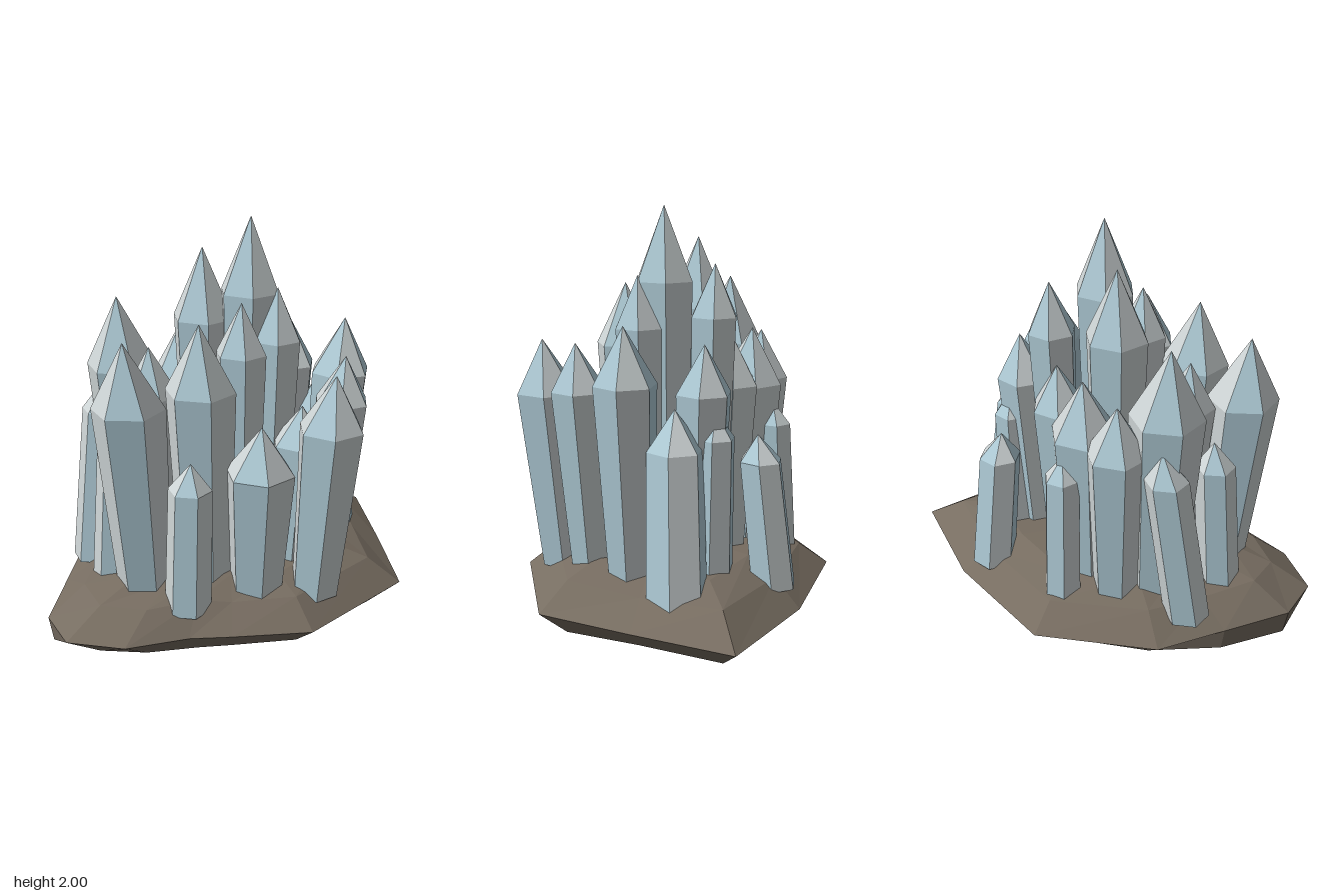
import * as THREE from 'three';

const material = (name, color) => {
  const m = new THREE.MeshStandardMaterial({ color });
  m.name = name;
  return m;
};

// Faceted skin over rings of points listed bottom to top, clockwise from above.
// Each column of faces is a group, so columns can alternate between materials.
function loft(rings, materials, name) {
  const pos = [];
  const geo = new THREE.BufferGeometry();
  const tri = (a, b, c) => {
    if (a.equals(b) || b.equals(c) || a.equals(c)) return;
    for (const p of [a, b, c]) pos.push(p.x, p.y, p.z);
  };
  const n = rings[0].length;
  for (let i = 0; i < n; i++) {
    const start = pos.length / 3;
    const j = (i + 1) % n;
    for (let k = 0; k < rings.length - 1; k++) {
      const lo = rings[k], up = rings[k + 1];
      tri(lo[j], lo[i], up[i]);
      tri(lo[j], up[i], up[j]);
    }
    geo.addGroup(start, pos.length / 3 - start, i % materials.length);
  }
  geo.setAttribute('position', new THREE.Float32BufferAttribute(pos, 3));
  geo.computeVertexNormals();
  const mesh = new THREE.Mesh(geo, materials);
  mesh.name = name;
  return mesh;
}

// Rock rim seen from above [x, z]
const RIM = [
  [-0.03, -0.75], [0.54, -0.55], [1, -0.24], [0.8, 0.2], [0.6, 0.61], [-0.02, 0.74], [-0.35, 0.58],
  [-0.52, 0.49], [-0.8, 0.41], [-1, 0.23], [-0.99, 0], [-0.78, -0.27], [-0.57, -0.54],
];
// Rock levels [scale of rim, height]
const LEVELS = [[0, 0], [0.4, 0.03], [0.82, 0.115], [1, 0.24], [0.81, 0.35], [0.6, 0.405], [0, 0.41]];

function rock(mat) {
  const rings = LEVELS.map(([s, y], k) => RIM.map(([x, z], i) => {
    const blunt = k === 2 && x < -0.75 && z < 0.1;   // steep cut at the back of the right-hand end
    const f = blunt ? 0.98 : s;
    const bump = s === 0 || s === 1 ? 0 : 0.01 * Math.sin(i * 2.3 + k);
    return new THREE.Vector3(x * f, y + bump, z * f);
  }));
  return loft(rings, [mat], 'rockBase');
}

// Six-sided crystal with a pointed cap, steeper on taller crystals
function crystal(bx, bz, x, z, height, r, baseRadius, mats) {
  const foot = 0.31;
  const base = new THREE.Vector3(bx, foot, bz);
  const tip = new THREE.Vector3(x, height, z);
  const shoulder = base.clone().lerp(tip, 1 - (r * height * 1.18) / (height - foot));
  const turn = 65 - 35 * x;
  const ring = (c, radius) => Array.from({ length: 6 }, (_, i) => {
    const a = THREE.MathUtils.degToRad(turn + 30 - i * 60);
    return new THREE.Vector3(c.x + Math.sin(a) * radius, c.y, c.z + Math.cos(a) * radius);
  });
  return loft([ring(base, 0), ring(base, baseRadius), ring(shoulder, r), ring(tip, 0)], mats, 'crystal');
}

// Tall crystals flare and lean outward: tip x, tip z, tip height, shoulder radius
const TALL = [
  [-0.63, 0.15, 1.55, 0.165], [-0.45, -0.27, 1.63, 0.17], [-0.28, -0.42, 1.38, 0.145],
  [-0.32, 0.26, 1.61, 0.16], [-0.09, -0.1, 1.85, 0.15], [0.07, 0.06, 2, 0.145],
  [0.14, 0.18, 1.69, 0.12], [0.22, -0.17, 1.75, 0.115], [0.15, 0.62, 1.4, 0.15],
  [-0.13, 0.47, 1.17, 0.16], [0.33, 0.45, 1.41, 0.13], [0.49, 0.23, 1.51, 0.145],
  [0.43, -0.12, 1.42, 0.13], [-0.07, -0.36, 1.42, 0.16], [-0.06, 0.19, 1.65, 0.12],
  [0.17, 0.35, 1.17, 0.13], [-0.42, -0.02, 1.45, 0.13], [0.13, -0.26, 1.4, 0.13],
];

// Short crystals taper and lean inward: base x, base z, tip x, tip z, tip height, shoulder radius
const SHORT = [
  [0.62, 0, 0.5, 0.01, 1.15, 0.13], [0.42, -0.44, 0.39, -0.36, 1.01, 0.1],
  [-0.63, -0.04, -0.57, -0.05, 1.1, 0.095], [-0.45, 0.36, -0.42, 0.35, 1.02, 0.1],
  [-0.6, -0.32, -0.48, -0.38, 1.2, 0.1], [-0.03, -0.5, -0.02, -0.46, 1.07, 0.085],
  [0.45, -0.16, 0.46, -0.17, 1.13, 0.09],
];

export function createModel() {
  const model = new THREE.Group();
  model.name = 'crystalCluster';
  const stone = material('brownStone', 0x776d61);
  const mats = [material('paleBlueCrystal', 0xaecad5), material('greyCrystal', 0xcdd4d5)];

  model.add(rock(stone));
  const crystals = new THREE.Group();
  crystals.name = 'crystals';
  for (const [x, z, height, r] of TALL) {
    crystals.add(crystal(x * 0.87, z * 0.87, x, z, height, r, r * 0.76, mats));
  }
  for (const [bx, bz, x, z, height, r] of SHORT) {
    crystals.add(crystal(bx, bz, x, z, height, r, r * 1.08, mats));
  }
  model.add(crystals);
  return model;
}
